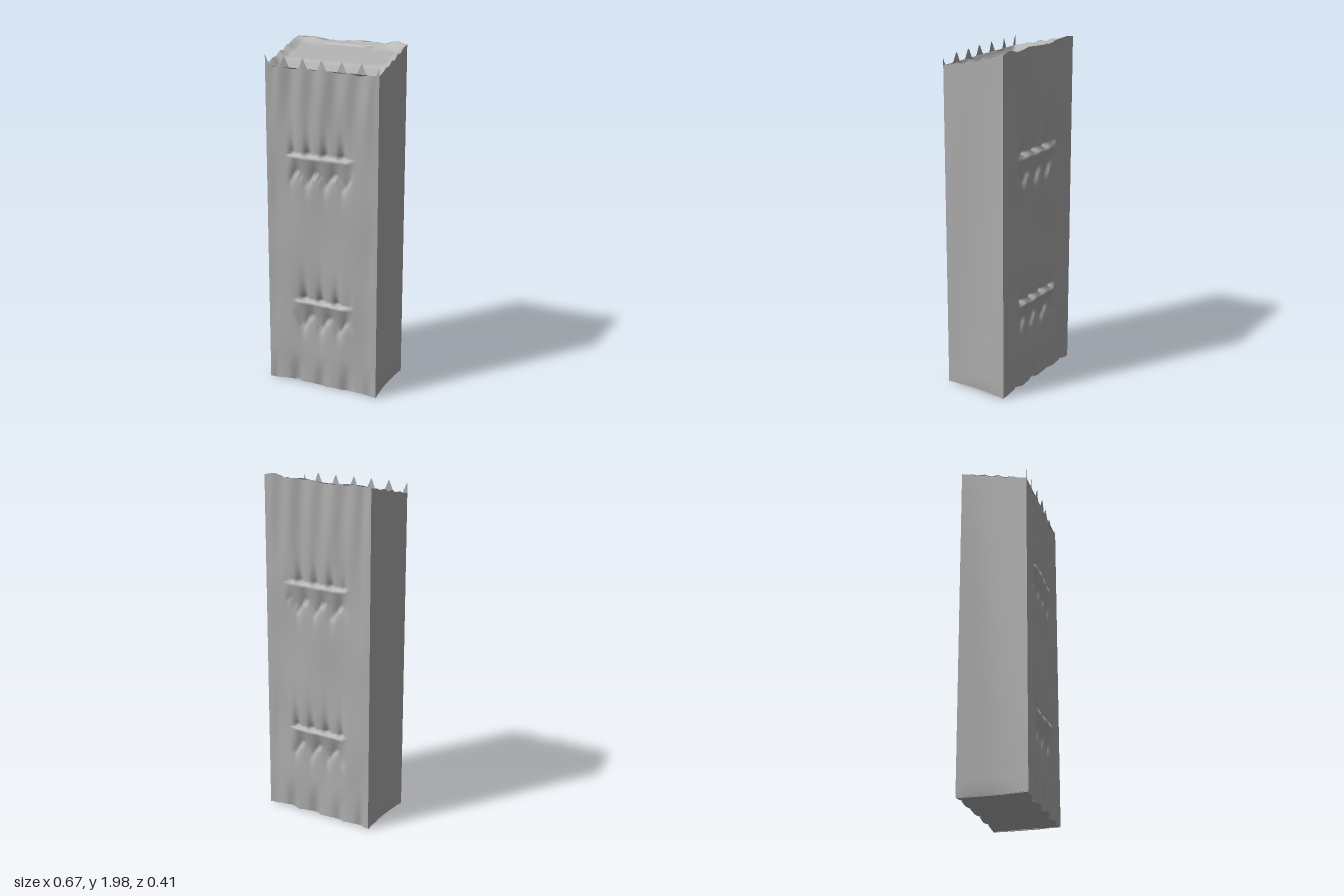
import * as THREE from 'three';

const W = 0.335, ZF = 0.19, ZB = -0.197;
const clamp = (t) => Math.min(1, Math.max(0, t));
const smooth = (t) => { t = clamp(t); return t * t * (3 - 2 * t); };
const bell = (d, w) => Math.exp(-(d * d) / (w * w));
const range = (a, b, n) => Array.from({ length: n + 1 }, (_, i) => a + (b - a) * i / n);

// Surface lattice: point(u, v) for every pair of column and row values.
function sheet(us, vs, point) {
  const pos = [], index = [], n = us.length;
  for (const v of vs) for (const u of us) pos.push(...point(u, v));
  for (let j = 0; j < vs.length - 1; j++) {
    for (let i = 0; i < n - 1; i++) {
      const a = j * n + i, b = a + 1, c = a + n, d = c + 1;
      index.push(a, b, d, a, d, c);
    }
  }
  const g = new THREE.BufferGeometry();
  g.setAttribute('position', new THREE.Float32BufferAttribute(pos, 3));
  g.setIndex(index);
  g.computeVertexNormals();
  return g;
}

// Height of the torn rim, sloping up from front to back.
function rimHeight(x, z) {
  const t = clamp((ZF - z) / (ZF - ZB));
  return 1.875 + 0.095 * t + 0.022 * bell(x - 0.27, 0.05) * smooth(t * 2 - 1)
    + 0.006 * t * Math.sin(x * 19) + 0.006 * Math.sin(z * 75) * Math.sin(t * Math.PI);
}

// Zigzag teeth along the front edge.
function tooth(x) {
  const d = Math.abs(((x + 0.39) / 0.113) % 1 - 0.5) * 0.113;
  return 0.062 * clamp(1 - d / 0.026);
}

// Pinched horizontal ledge with gathered folds above and a wedge below.
function ledge(x, y, yc, cx, hw, seed) {
  const across = smooth((hw + 0.03 - Math.abs(x - cx)) / 0.06);
  const d = y - yc;
  const pleat = Math.pow(0.5 + 0.5 * Math.sin(x * 62 + seed), 2);
  if (d > 0.002) {
    return -across * (0.008 + 0.03 * pleat) * Math.exp(-d / 0.075);
  }
  const reach = 0.13 + 0.03 * Math.sin(x * 55 + seed);
  const t = -d / reach;
  const wedge = t < 1 ? 0.013 - 0.036 * t : -0.023 * Math.exp(-(t - 1) * 4.5);
  return across * wedge * (t < 1 ? 1 : 0.5 + 0.5 * pleat);
}

// Crumpled depth of a broad face.
function crumple(x, y, seed) {
  const edge = smooth((W - Math.abs(x)) / 0.07);
  const top = smooth((y - 1.35) / 0.4), low = 1 - smooth(y / 0.22);
  let d = ledge(x, y, 1.39, -0.01, 0.18, seed) + ledge(x, y, 0.53, 0, 0.165, seed + 1.7);
  d += 0.005 * Math.sin(x * 13 + y * 4 + seed) * Math.sin(y * 7 - x * 5 + seed * 2);
  d += 0.005 * top * Math.sin(x * 47 + seed + Math.sin(y * 5));
  d -= 0.018 * low * Math.pow(0.5 + 0.5 * Math.sin(x * 40 + seed * 3), 2);
  return edge * (d - 0.003);
}

// Rows are stretched above 1.6 so that they meet the rim.
const stretch = (y, top) => (y < 1.6 ? y : 1.6 + (y - 1.6) * (top - 1.6) / 0.3);
const lift = (x, y) => 0.01 + (y < 0.1 ? 0.012 * (1 - y / 0.1) * Math.pow(Math.sin(x * 21), 2) : 0);

export function createModel() {
  const paper = new THREE.MeshStandardMaterial({ color: 0xb0b0b0, side: THREE.DoubleSide });
  paper.name = 'plain grey';
  const model = new THREE.Group();
  model.name = 'paperBag';
  const add = (name, geometry) => {
    const mesh = new THREE.Mesh(geometry, paper);
    mesh.name = name;
    model.add(mesh);
  };

  const cols = range(-W, W, 76);
  const rows = [
    ...range(0, 0.53, 28), ...range(0.533, 1.39, 44), ...range(1.393, 1.84, 22),
    1.86, 1.88, 1.9,
  ];

  // Broad faces
  add('frontPanel', sheet(cols, rows, (x, v) => {
    let y = stretch(v, rimHeight(x, ZF));
    if (v > 1.895) y += tooth(x);
    return [x, Math.max(y, lift(x, v)), ZF + crumple(x, v, 0.6)];
  }));
  add('backPanel', sheet(cols, rows, (u, v) => {
    const y = stretch(v, rimHeight(-u, ZB));
    return [-u, Math.max(y, lift(u, v)), ZB - crumple(u, v, 2.9)];
  }));

  // Narrow sides with a shallow inward fold
  for (const s of [1, -1]) {
    add(s > 0 ? 'leftSide' : 'rightSide', sheet(range(0, 1, 20), range(0, 1.9, 48), (u, v) => {
      const z = s > 0 ? ZF + (ZB - ZF) * u : ZB + (ZF - ZB) * u;
      const bow = Math.sin(u * Math.PI);
      const fold = -0.012 * bow * smooth(v / 0.1) * (0.6 + 0.4 * Math.sin(v * 2 + z * 5));
      const tuck = -0.012 * bow * (1 - smooth(v / 0.08));
      const y = Math.max(stretch(v, rimHeight(s * W, z)), 0.01);
      return [s * (W + fold + tuck), y, z];
    }));
  }

  // Sunken top closure: back flap, drop at its lip, then the front tray
  const topCols = [-W, -0.325, -0.31, ...range(-0.29, 0.29, 40), 0.31, 0.325, W];
  const topRows = [ZF, 0.182, 0.17, ...range(0.155, 0.04, 10), 0.034,
    ...range(0.02, -0.14, 8), -0.15, -0.165, -0.18, ZB];
  add('topClosure', sheet(topCols, topRows, (x, z) => {
    const rim = rimHeight(x, z);
    const inset = smooth((W - Math.abs(x)) / 0.045)
      * smooth((ZF - z) / 0.022) * smooth((z - ZB) / 0.04);
    let floor;
    if (z > 0.037) {
      const t = (z - 0.037) / (ZF - 0.037);
      floor = 1.845 + 0.042 * (1 - t) * (1 - t);
    } else {
      floor = 1.893 + 0.055 * (0.037 - z) / (0.037 - ZB);
    }
    const wave = 0.006 * Math.sin(z * 60 + x * 4) * smooth((Math.abs(x) - 0.25) / 0.05);
    return [x, rim + (Math.min(floor, rim - 0.004) + wave - rim) * inset, z];
  }));

  // Rolled scrap along the back rim
  add('backFold', sheet(range(-0.14, 0.22, 18), range(0, 1, 6), (x, t) => {
    const taper = 1 - 0.5 * smooth((x - 0.08) / 0.1);
    const a = t * Math.PI / 2;
    return [x, 1.93 + 0.035 * Math.sin(a), -0.19 + 0.038 * taper * Math.cos(a)];
  }));

  // Folded base: four creased flaps rising to a central line
  add('foldedBase', sheet(cols, range(ZB, ZF, 20), (x, z) => {
    const dz = Math.min(z - ZB, ZF - z), dx = W - Math.abs(x);
    const rise = 0.3 * Math.min(dz, dx);
    const wrinkle = 0.008 * Math.sin(x * 30 + z * 8) * smooth(dz / 0.08) * smooth(dx / 0.1);
    const rim = lift(x, 0) * (1 - smooth(dz / 0.1)) + 0.01 * smooth(dz / 0.1);
    let zz = z;
    if (z === ZF) zz += crumple(x, 0, 0.6);
    if (z === ZB) zz -= crumple(-x, 0, 2.9);
    return [x, rim + rise + wrinkle, zz];
  }));

  return model;
}
